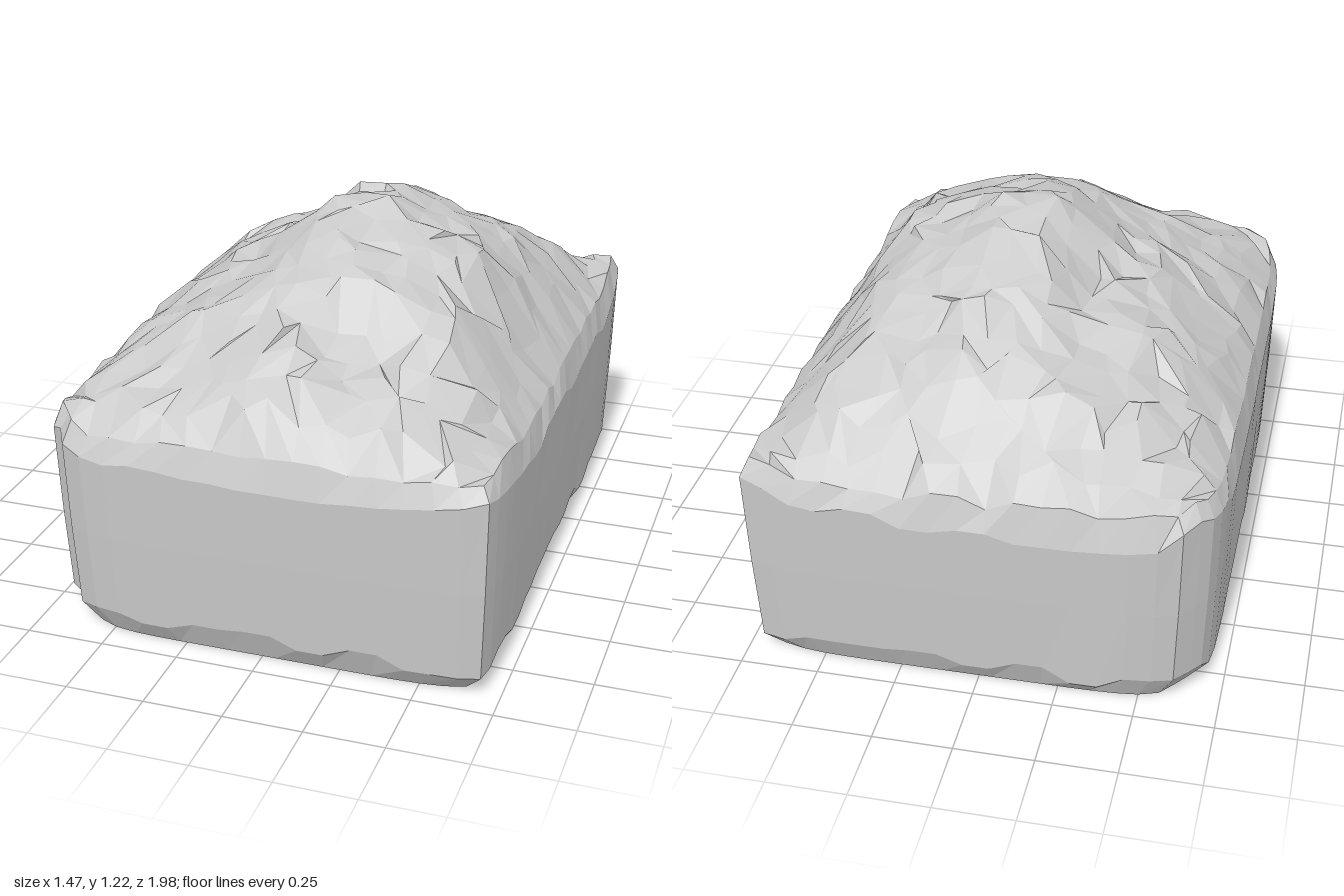
import * as THREE from 'three';

const NX = 17, NZ = 23;
const PEAK = 1.22;

// small seeded hash, -1..1
const noise = (a, b) => {
  const s = Math.sin(a * 127.1 + b * 311.7 + 4.3) * 43758.5453;
  return 2 * (s - Math.floor(s)) - 1;
};

// linear interpolation through [position, height] pairs
const profile = (pts, t) => {
  if (t <= pts[0][0]) return pts[0][1];
  for (let i = 1; i < pts.length; i++) {
    const [a, ha] = pts[i - 1], [b, hb] = pts[i];
    if (t <= b) return ha + (hb - ha) * (t - a) / (b - a);
  }
  return pts[pts.length - 1][1];
};

// ridge outlines across the width and along the length
const ACROSS = [[-0.73, 0.70], [-0.6, 0.82], [-0.4, 0.97], [-0.2, 1.06], [-0.02, 1.22], [0.1, 1.22],
  [0.2, 1.17], [0.44, 1.06], [0.52, 0.97], [0.6, 0.85], [0.73, 0.70]];
const ALONG = [[-1, 0.68], [-0.8, 0.84], [-0.65, 0.96], [-0.4, 1.07], [-0.27, 1.16], [0.05, 1.22],
  [0.2, 1.16], [0.45, 1.09], [0.6, 0.97], [0.75, 0.88], [0.9, 0.80], [0.99, 0.68]];

// local lumps and hollows: x, z, radius, height
const LUMPS = [[-0.05, 0.72, 0.16, 0.05], [-0.22, -0.64, 0.09, 0.04], [0.2, 0.6, 0.1, -0.06],
  [0.05, -0.5, 0.15, 0.04], [0.42, 0.1, 0.13, 0.03], [-0.45, -0.3, 0.12, 0.03], [0.6, 0.3, 0.12, -0.04]];

const topHeight = (x, z) => {
  const rim = 0.66;
  const fx = Math.max(0, profile(ACROSS, x) - rim) / (PEAK - rim);
  const fz = Math.max(0, profile(ALONG, z) - rim) / (PEAK - rim);
  let y = rim + (PEAK - rim) * (0.6 * fx * fz + 0.4 * Math.min(fx, fz));
  for (const [lx, lz, r, h] of LUMPS) y += h * Math.exp(-((x - lx) ** 2 + (z - lz) ** 2) / (r * r));
  return y;
};

// plan outline: u, v in -1..1, with each corner cut by its own amount
const plan = (u, v) => {
  const cut = v > 0 ? (u < 0 ? 0.11 : 0.035) : (u < 0 ? 0.09 : 0.03);
  const k = 1 - cut * Math.abs(u) ** 7 * Math.abs(v) ** 7;
  return [0.735 * u * k, 0.99 * v * k];
};

function rockGeometry() {
  const pos = [], idx = [];
  const add = (x, y, z) => pos.push(x, y, z) / 3 - 1;
  const grid = [];

  // craggy top
  for (let j = 0; j <= NZ; j++) {
    for (let i = 0; i <= NX; i++) {
      const edge = i === 0 || j === 0 || i === NX || j === NZ;
      const u = 2 * i / NX - 1, v = 2 * j / NZ - 1;
      const a = edge ? 0 : 0.036;
      const [px, pz] = plan(u, v);
      const x = px * 0.965 + a * noise(i, j), z = pz * 0.97 + a * noise(i + 40, j);
      const corner = Math.abs(u * v) ** 3;
      const y = edge
        ? 0.69 + 0.035 * corner + 0.02 * noise(i, j + 70)
        : topHeight(x, z) + 0.02 * noise(i, j + 90);
      grid.push(add(x, y, z));
    }
  }
  const at = (i, j) => grid[j * (NX + 1) + i];
  for (let j = 0; j < NZ; j++) {
    for (let i = 0; i < NX; i++) {
      const a = at(i, j), b = at(i, j + 1), c = at(i + 1, j + 1), d = at(i + 1, j);
      if (noise(i + 11, j + 5) > 0) idx.push(a, b, c, a, c, d);
      else idx.push(a, b, d, b, c, d);
    }
  }

  // perimeter of the grid, anticlockwise from above
  const loop = [];
  for (let i = 0; i < NX; i++) loop.push([i, NZ]);
  for (let j = NZ; j > 0; j--) loop.push([NX, j]);
  for (let i = NX; i > 0; i--) loop.push([i, 0]);
  for (let j = 0; j < NZ; j++) loop.push([0, j]);

  // walls: [height, scale x, scale z, height jitter, corner lift]
  const rings = [[0.6, 1, 1, 0.025, 0.06], [0.36, 0.99, 0.985, 0, 0],
    [0.08, 0.975, 0.965, 0.025, 0], [0, 0.9, 0.92, 0, 0]];
  let upper = loop.map(([i, j]) => at(i, j));
  rings.forEach(([h, sx, sz, jit, lift], r) => {
    const lower = loop.map(([i, j]) => {
      const u = 2 * i / NX - 1, v = 2 * j / NZ - 1;
      const [x, z] = plan(u, v);
      const y = h + jit * noise(Math.floor(i / 2) + r * 9, Math.floor(j / 2)) + lift * Math.abs(u * v) ** 3;
      return add(x * sx, y, z * sz);
    });
    lower.forEach((a, n) => {
      const m = (n + 1) % lower.length;
      idx.push(a, lower[m], upper[m], a, upper[m], upper[n]);
    });
    upper = lower;
  });

  // flat underside
  const centre = add(0, 0, 0);
  upper.forEach((a, n) => idx.push(centre, upper[(n + 1) % upper.length], a));

  const g = new THREE.BufferGeometry();
  g.setAttribute('position', new THREE.Float32BufferAttribute(pos, 3));
  g.setIndex(idx);
  const flat = g.toNonIndexed();
  flat.computeVertexNormals();
  return flat;
}

export function createModel() {
  const group = new THREE.Group();
  group.name = 'boulder';
  const rock = new THREE.Mesh(rockGeometry(),
    new THREE.MeshStandardMaterial({ color: 0xcccccc, flatShading: true }));
  rock.name = 'rock';
  group.add(rock);
  return group;
}
